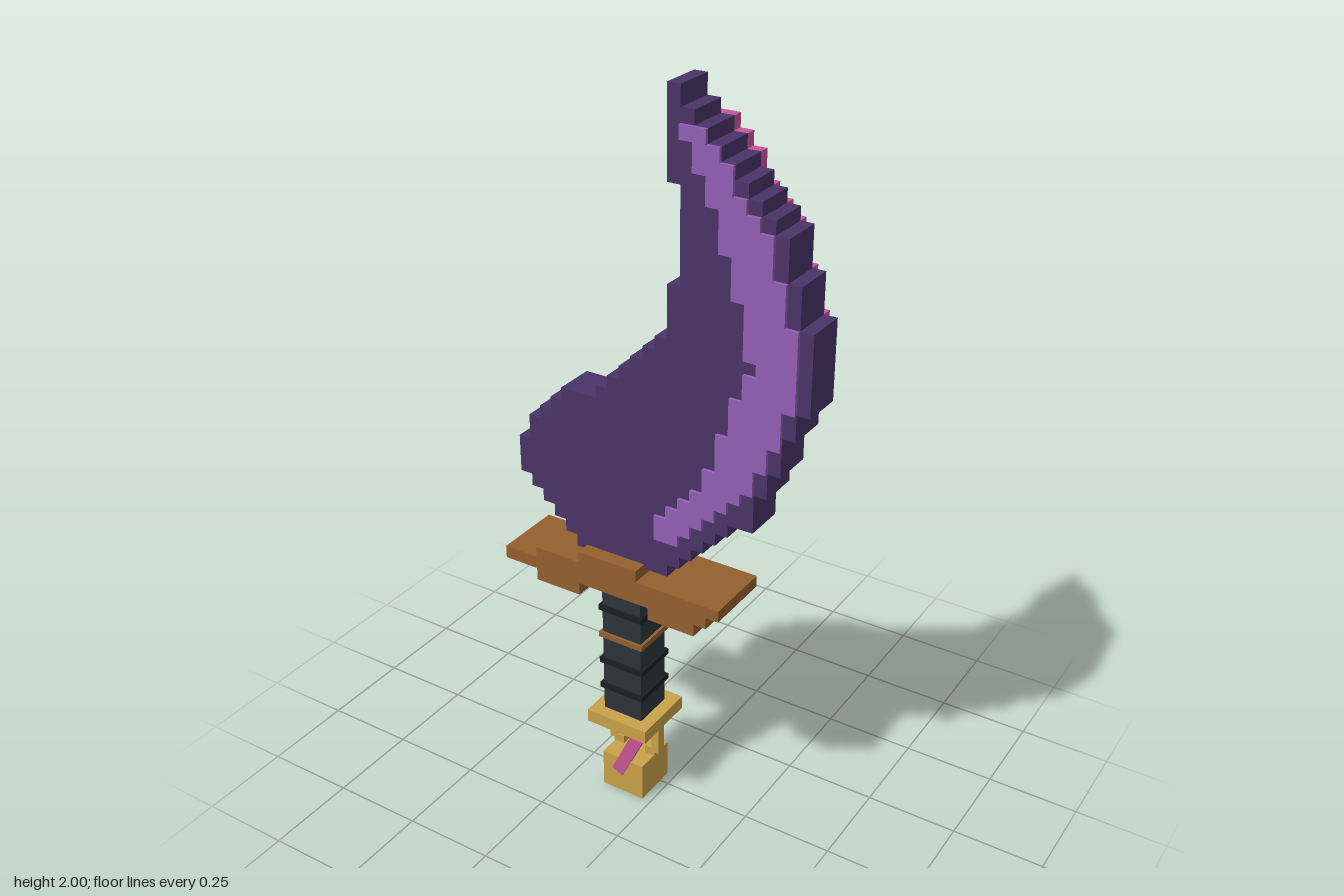
import * as THREE from 'three';
import { mergeGeometries } from 'three/addons/utils/BufferGeometryUtils.js';

const mat = (name, color) => {
  const m = new THREE.MeshStandardMaterial({ color });
  m.name = name;
  return m;
};

// Blade pixel grid: column 0 starts at X0, row 1 starts at Y1, cells are CELL wide
const CELL = 0.0343, X0 = -0.397, Y1 = 1.95;

// [left, right] column of every blade row, from the tip down
const BLADE = [
  [13, 14], [13, 15], [13, 16], [13, 17], [13, 18], [13, 19], [14, 20], [14, 21], [14, 22],
  [14, 22], [14, 22], [14, 23], [14, 23], [13, 23], [13, 24], [13, 24], [13, 24], [12, 24],
  [11, 24], [10, 24], [9, 23], [8, 23], [7, 22], [4, 22], [3, 22], [2, 21], [1, 21], [1, 20],
  [0, 20], [0, 20], [0, 18], [1, 17], [2, 16], [3, 15], [4, 14], [5, 13],
];
// Curved stripe, first entry is row 2
const STRIPE = [
  [14, 16], [15, 17], [15, 18], [16, 18], [16, 19], [17, 20], [17, 21], [17, 21], [18, 21],
  [18, 22], [18, 22], [19, 22], [19, 23], [19, 23], [19, 23], [20, 23], [19, 23], [19, 23],
  [18, 22], [18, 22], [18, 22], [17, 21], [17, 21], [17, 20], [16, 20], [16, 19], [15, 18],
  [14, 17], [13, 16], [12, 15], [12, 14],
];

// Geometry of a box given by its limits
function boxGeo(x0, x1, y0, y1, z0, z1) {
  return new THREE.BoxGeometry(x1 - x0, y1 - y0, z1 - z0)
    .translate((x0 + x1) / 2, (y0 + y1) / 2, (z0 + z1) / 2);
}

// Stack of one box per pixel row
function rowsGeo(rows, firstRow, z0, z1) {
  return mergeGeometries(rows.map(([l, r], i) => {
    const row = firstRow + i;
    const top = row === 0 ? 2 : Y1 - (row - 1) * CELL;
    return boxGeo(X0 + l * CELL, X0 + r * CELL, Y1 - row * CELL, top, z0, z1);
  }));
}

export function createModel() {
  const model = new THREE.Group();
  model.name = 'curvedSword';
  const darkPurple = mat('darkPurple', 0x4a3468);
  const purple = mat('purple', 0x945fb5);
  const lilac = mat('lilac', 0xb486d2);
  const pink = mat('pink', 0xc9559a);
  const brown = mat('brown', 0x95602f);
  const gold = mat('gold', 0xc9a24a);
  const slate = mat('slate', 0x2c353a);
  const black = mat('black', 0x1a1f24);

  const add = (name, geometry, material) => {
    const mesh = new THREE.Mesh(geometry, material);
    mesh.name = name;
    model.add(mesh);
    return mesh;
  };
  const boxes = (name, material, list) =>
    add(name, mergeGeometries(list.map((b) => boxGeo(...b))), material);

  // Blade with its front stripe
  add('blade', rowsGeo(BLADE, 0, -0.03, 0.08), darkPurple);
  add('frontStripe', rowsGeo(STRIPE, 2, 0.08, 0.089), purple);

  // Back inlay, set in from the blade edge, with the raised pink stripe
  const inlay = BLADE.slice(4, 35).map(([l, r], i) => {
    const row = i + 4;
    const left = row > 22 ? l + 2 : l + 1;
    const stripe = STRIPE[row - 2];
    return [left, stripe ? Math.max(stripe[1] - 1, row > 27 ? r - 3 : 0) : r - 2];
  });
  add('backInlay', rowsGeo(inlay, 4, -0.044, -0.03), purple);
  add('backStripe', rowsGeo(STRIPE, 2, -0.058, -0.03), pink);

  // Three small spot clusters on the back inlay
  for (const [x, y] of [[0.14, 1.225], [0.043, 1.105], [-0.052, 0.985]]) {
    boxes('spot', lilac, [
      [x - 0.022, x - 0.004, y, y + 0.02, -0.064, -0.044],
      [x + 0.004, x + 0.022, y + 0.004, y + 0.024, -0.064, -0.044],
      [x - 0.008, x + 0.01, y - 0.026, y - 0.006, -0.064, -0.044],
    ]);
  }

  // Stepped crossguard
  boxes('crossguard', brown, [
    [-0.43, -0.33, 0.665, 0.7, -0.07, 0.12],
    [-0.33, -0.195, 0.63, 0.73, -0.07, 0.12],
    [-0.195, -0.02, 0.665, 0.762, -0.07, 0.12],
    [-0.02, 0.015, 0.665, 0.73, -0.07, 0.12],
    [0.015, 0.152, 0.63, 0.73, -0.07, 0.12],
    [0.152, 0.187, 0.665, 0.73, -0.07, 0.12],
    [0.187, 0.222, 0.698, 0.73, -0.07, 0.12],
  ]);

  // Gem in a gold setting on the back of the guard
  boxes('gemSetting', gold, [
    [-0.155, -0.02, 0.66, 0.775, -0.095, -0.065],
    [-0.125, -0.05, 0.63, 0.805, -0.095, -0.065],
    [-0.106, -0.083, 0.76, 0.785, -0.123, -0.095],
  ]);
  boxes('gem', pink, [
    [-0.14, -0.038, 0.69, 0.75, -0.117, -0.095],
    [-0.117, -0.06, 0.655, 0.78, -0.117, -0.095],
  ]);

  // Grip and its wrapped rings
  boxes('grip', slate, [[-0.148, -0.03, 0.26, 0.67, -0.03, 0.085]]);
  for (const [y, material] of [[0.59, black], [0.505, brown], [0.422, black], [0.34, black]]) {
    boxes('gripRing', material, [[-0.156, -0.022, y - 0.008, y + 0.008, -0.038, 0.092]]);
  }

  // Collar, posts and pommel
  boxes('collar', gold, [[-0.18, 0.005, 0.225, 0.263, -0.065, 0.12]]);
  const centre = -0.089;
  for (const s of [-1, 1]) {
    const span = (a, b) => [centre + s * a, centre + s * b].sort((p, q) => p - q);
    boxes('pommelPost', gold, [
      [...span(0.056, 0.079), 0.122, 0.227, 0.003, 0.032],
      [...span(0.04, 0.079), 0.205, 0.227, 0.003, 0.032],
      [...span(0.035, 0.066), 0.108, 0.135, 0.003, 0.032],
    ]);
  }
  boxes('pommel', gold, [[-0.153, -0.025, 0, 0.111, -0.037, 0.09]]);
  boxes('pommelStrip', black, [[-0.145, -0.033, 0.03, 0.043, -0.042, -0.036]]);

  // Slanted ribbon hanging from the collar
  const ribbon = add('ribbon', new THREE.BoxGeometry(0.036, 0.2, 0.012), pink);
  ribbon.position.set(-0.062, 0.155, 0.089);
  ribbon.rotation.z = -0.44;

  return model;
}
